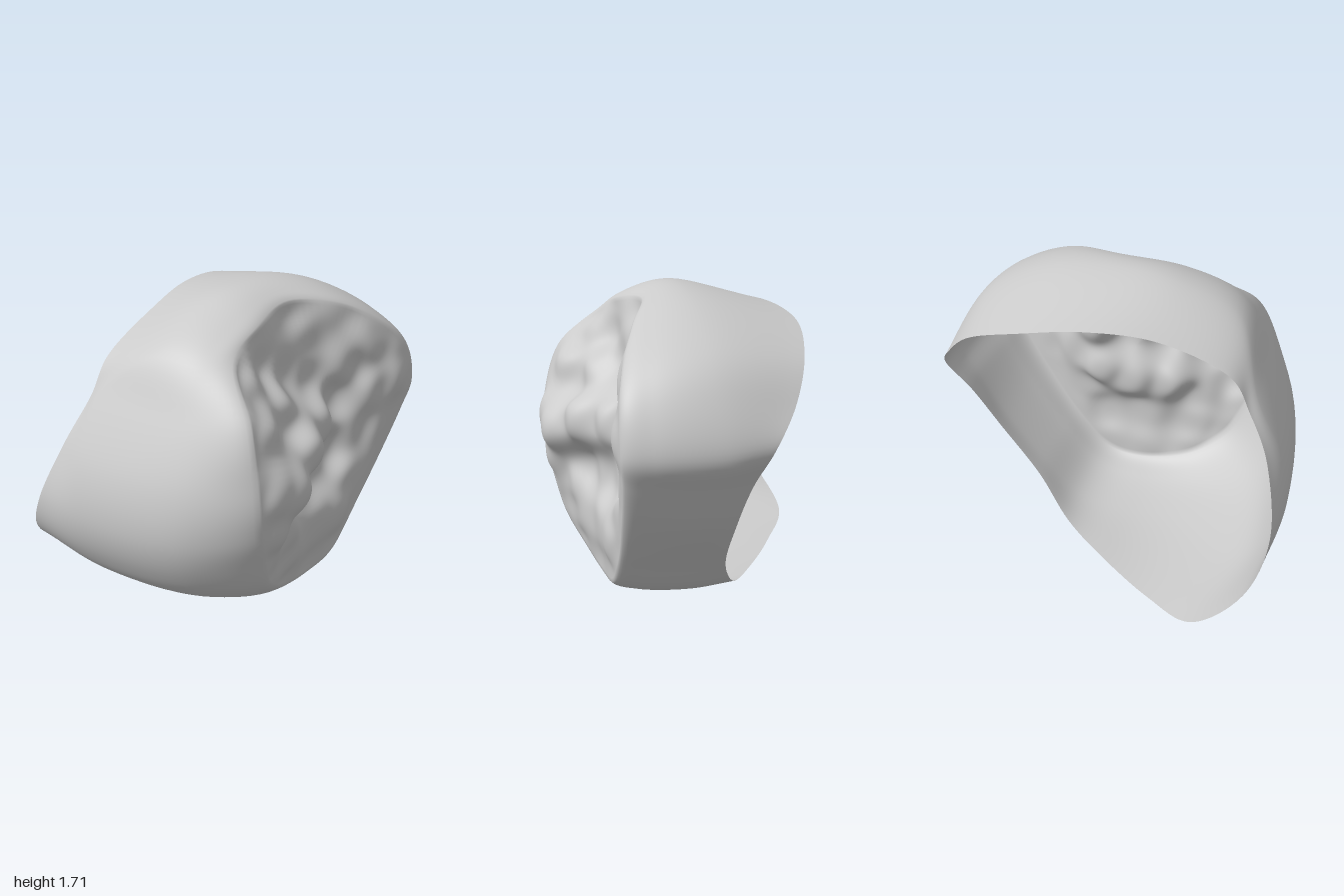
import * as THREE from 'three';

// Stations round the crown, counter-clockwise from +x.
// Widest outline of the wall: x, y
const OUTLINE = [
  [1, 1.02], [.92, 1.27], [.75, 1.48], [.42, 1.65], [.05, 1.71], [-.28, 1.68],
  [-.62, 1.53], [-.8, 1.25], [-.96, .92], [-1, .62], [-.92, .36], [-.74, .16],
  [-.35, .04], [0, .005], [.3, .06], [.52, .29], [.75, .57], [.9, .82],
];
// Rim of the chewing surface: x, y, z
const RIM = [
  [.88, 1.03, .54], [.82, 1.25, .53], [.65, 1.42, .48], [.4, 1.57, .38], [.1, 1.64, .27], [-.2, 1.6, .33],
  [-.45, 1.5, .4], [-.58, 1.28, .62], [-.62, .95, .71], [-.6, .7, .71], [-.52, .48, .67], [-.42, .3, .62],
  [-.22, .16, .54], [.05, .1, .49], [.28, .14, .48], [.48, .35, .48], [.68, .63, .5], [.82, .86, .52],
];
// Wavy open margin at the back: x, y, z
const MARGIN = [
  [.98, 1.04, -.2], [.88, 1.23, -.33], [.7, 1.42, -.43], [.4, 1.55, -.49], [.05, 1.6, -.43], [-.3, 1.56, -.34],
  [-.65, 1.42, -.3], [-.78, 1.22, -.31], [-.91, .97, -.39], [-.985, .62, -.54], [-.9, .33, -.69], [-.65, .12, -.77],
  [-.35, .035, -.6], [0, .025, -.38], [.28, .07, -.2], [.5, .28, -.09], [.73, .57, -.08], [.88, .83, -.12],
];
// Cusps, ridges and grooves of the chewing surface: x, y, z
const RELIEF = [
  [-.5, .9, .77], [-.47, 1.2, .66], [-.42, 1.38, .5], [-.48, .65, .74], [-.33, .85, .77], [-.1, .96, .66],
  [.14, 1, .53], [-.2, 1.18, .53], [-.2, 1.43, .33], [-.02, 1.32, .34], [.15, 1.25, .36],
  [.2, 1.42, .34], [.32, 1.05, .36], [.3, .75, .38], [.6, 1.05, .51], [.75, 1.08, .57], [.6, 1.3, .5],
  [.45, 1.2, .43], [.5, .8, .46], [.65, .78, .51], [.12, .68, .42], [-.1, .65, .48],
  [.08, .42, .53], [.3, .38, .53], [-.25, .35, .59], [.42, .55, .49], [-.25, .55, .62],
];

const loop = (pts) => new THREE.CatmullRomCurve3(
  pts.map(([x, y, z]) => new THREE.Vector3(x, y, z)), true, 'catmullrom', 0.5);

// Smooth height through the rim and relief points
const knots = [...RELIEF, ...RIM];
function relief(x, y) {
  let sum = 0, total = 0;
  for (const [a, b, z] of knots) {
    const w = 1 / ((x - a) ** 2 + (y - b) ** 2 + 0.006) ** 2;
    sum += w * z;
    total += w;
  }
  return sum / total;
}

export function createModel() {
  const AROUND = 144, WALL = 28, TOP = 44;
  // The wall bulges lower down on the -x side
  const outline = loop(OUTLINE.map(([x, y]) => [x, y, x < -.7 ? -.22 : .05]));
  const rim = loop(RIM), margin = loop(MARGIN);
  const pos = [], index = [];

  for (let i = 0; i < AROUND; i++) {
    const u = i / AROUND;
    const m = margin.getPoint(u), o = outline.getPoint(u), r = rim.getPoint(u);
    const shoulder = o.clone().lerp(r, .35);
    shoulder.z = THREE.MathUtils.lerp(o.z, r.z, .68);
    // Inside the rim the section heads for the middle of the chewing surface
    const inner = new THREE.Vector3(r.x + (.1 - r.x) * .25, r.y + (.9 - r.y) * .25, 0);
    inner.z = relief(inner.x, inner.y);
    const wall = new THREE.CatmullRomCurve3([m, o, shoulder, r, inner], false, 'centripetal');
    for (let j = 0; j <= WALL; j++) {
      const p = wall.getPoint(.75 * j / WALL);
      pos.push(p.x, p.y, p.z);
    }
    for (let j = 1; j <= TOP; j++) {
      const t = 1 - j / TOP;
      const x = .1 + (r.x - .1) * t, y = .9 + (r.y - .9) * t;
      pos.push(x, y, THREE.MathUtils.lerp(relief(x, y), r.z, t ** 8));
    }
  }

  const row = WALL + TOP + 1;
  for (let i = 0; i < AROUND; i++) {
    const a0 = i * row, b0 = ((i + 1) % AROUND) * row;
    for (let j = 0; j < row - 1; j++) {
      const a = a0 + j, b = b0 + j;
      // All sections share one vertex at the middle
      if (j === row - 2) index.push(a, b, row - 1);
      else index.push(a, b, a + 1, b, b + 1, a + 1);
    }
  }

  const geometry = new THREE.BufferGeometry();
  geometry.setAttribute('position', new THREE.Float32BufferAttribute(pos, 3));
  geometry.setIndex(index);
  geometry.computeVertexNormals();

  const crown = new THREE.Mesh(geometry, new THREE.MeshStandardMaterial({
    color: 0xcccccc, side: THREE.DoubleSide,
  }));
  crown.name = 'crownShell';
  const group = new THREE.Group();
  group.name = 'toothCrown';
  group.add(crown);
  return group;
}
